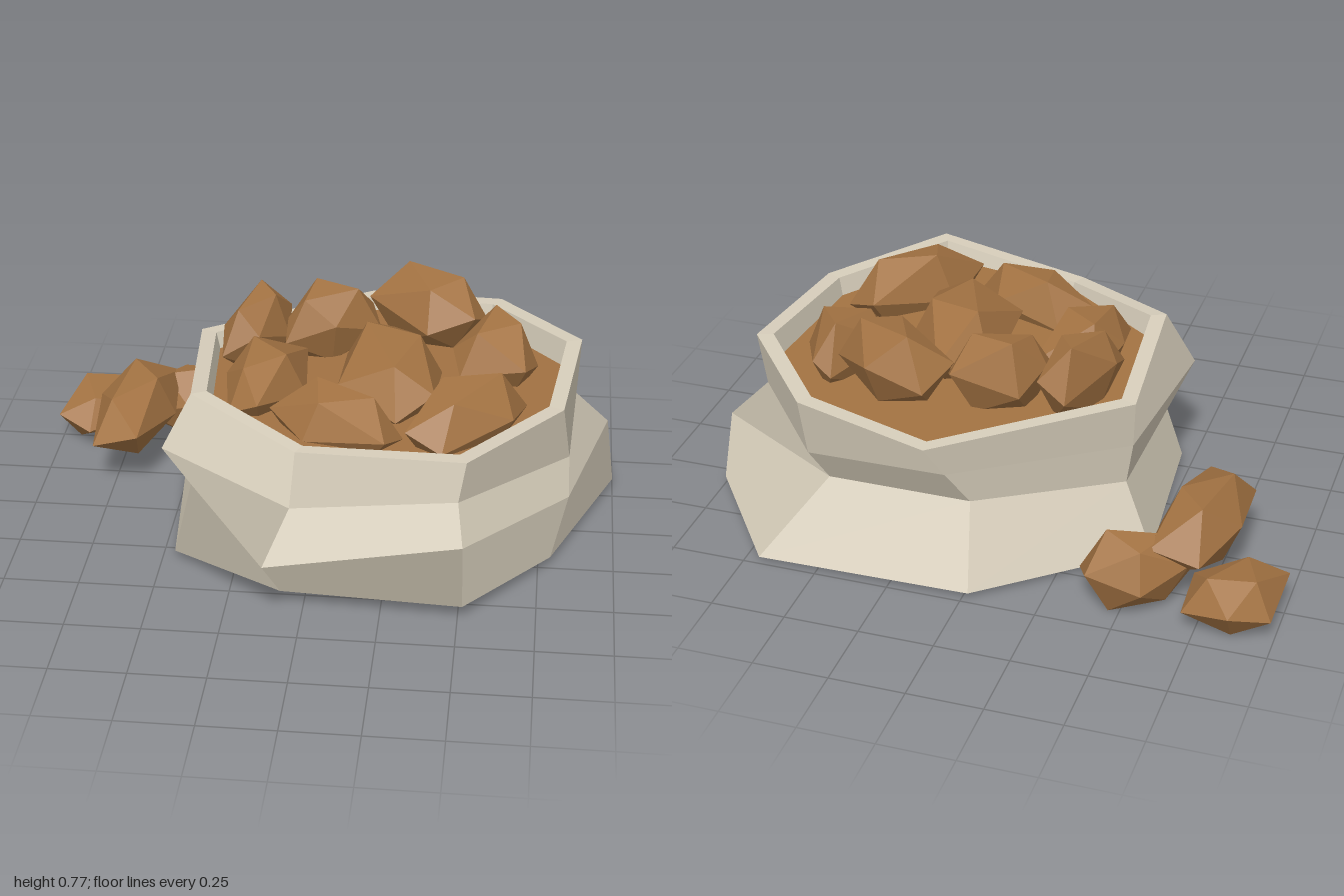
import * as THREE from 'three';
import { ConvexGeometry } from 'three/addons/geometries/ConvexGeometry.js';

const clothMat = new THREE.MeshStandardMaterial({ color: 0xd7cebb });
const earthMat = new THREE.MeshStandardMaterial({ color: 0xa27242, flatShading: true });

// Eight-sided outlines of the sack, bottom to top, starting at the back and going round by +x
const base = [[-0.02, 0.02, -0.73], [0.7, 0.015, -0.735], [1, 0.025, -0.33], [0.79, 0.03, 0.23],
  [0.515, 0.05, 0.595], [-0.075, 0.05, 0.56], [-0.46, 0.02, 0.3], [-0.515, 0.02, -0.32]];
const belly = [[0.02, 0.27, -0.58], [0.5, 0.275, -0.585], [0.97, 0.27, -0.305], [0.84, 0.265, 0.23],
  [0.51, 0.27, 0.6], [-0.11, 0.25, 0.745], [-0.41, 0.245, 0.24], [-0.42, 0.26, -0.3]];
const neck = [[0.08, 0.4, -0.65], [0.54, 0.4, -0.655], [0.84, 0.4, -0.28], [0.835, 0.4, 0.2],
  [0.49, 0.405, 0.545], [-0.035, 0.405, 0.635], [-0.495, 0.405, 0.29], [-0.44, 0.4, -0.3]];
const rim = [[0.12, 0.53, -0.73], [0.58, 0.565, -0.63], [0.865, 0.585, -0.29], [0.81, 0.575, 0.21],
  [0.515, 0.585, 0.61], [-0.03, 0.54, 0.515], [-0.4, 0.59, 0.25], [-0.445, 0.555, -0.3]];

// Shrinks an outline towards the middle of the sack mouth
const inset = (ring, s) => ring.map(p =>
  [0.21 + (p[0] - 0.21) * s, p[1], -0.05 + (p[2] + 0.05) * s]);

// Builds a mesh from three- or four-cornered panels, each shaded as one flat piece
function meshFrom(panels, material, name) {
  const positions = [], normals = [];
  for (const panel of panels) {
    const [a, b, c, d = a] = panel.map(p => new THREE.Vector3(...p));
    const n = c.clone().sub(a).cross(d.clone().sub(b)).normalize();
    const corners = panel.length === 4 ? [a, b, c, a, c, d] : [a, b, c];
    for (const p of corners) {
      positions.push(p.x, p.y, p.z);
      normals.push(n.x, n.y, n.z);
    }
  }
  const geo = new THREE.BufferGeometry();
  geo.setAttribute('position', new THREE.Float32BufferAttribute(positions, 3));
  geo.setAttribute('normal', new THREE.Float32BufferAttribute(normals, 3));
  const mesh = new THREE.Mesh(geo, material);
  mesh.name = name;
  return mesh;
}

// Joins successive outlines with four-cornered panels
function loft(rings) {
  const panels = [];
  for (let r = 0; r < rings.length - 1; r++) {
    const lo = rings[r], hi = rings[r + 1];
    lo.forEach((p, i) => {
      const j = (i + 1) % lo.length;
      panels.push([lo[j], p, hi[i], hi[j]]);
    });
  }
  return panels;
}

// Fills an outline with a fan, facing up or down
function cap(ring, up) {
  const c = [0, 1, 2].map(k => ring.reduce((s, p) => s + p[k], 0) / ring.length);
  return ring.map((p, i) => {
    const q = ring[(i + 1) % ring.length];
    return up ? [c, q, p] : [c, p, q];
  });
}

// Twelve-cornered lump: a zigzag waist of six x, z points with three corners above and three below
function lump(y0, y1, waist, name) {
  const h = y1 - y0, points = [];
  const cx = waist.reduce((s, p) => s + p[0], 0) / 6, cz = waist.reduce((s, p) => s + p[1], 0) / 6;
  const crown = [0, 1, 0, 0.96, 0, 0.9];
  waist.forEach(([x, z], i) => {
    const odd = i % 2, px = cx + (x - cx) * 0.55, pz = cz + (z - cz) * 0.55;
    points.push(new THREE.Vector3(x, y0 + h * (odd ? 0.4 : 0.6), z));
    points.push(new THREE.Vector3(px, y0 + h * (odd ? crown[i] : 0.02 * i), pz));
  });
  const mesh = new THREE.Mesh(new ConvexGeometry(points), earthMat);
  mesh.name = name;
  return mesh;
}

export function createModel() {
  const model = new THREE.Group();
  model.name = 'openSack';

  // Sack wall with folded rim, and its underside
  const lip = inset(rim, 0.92);
  const inner = inset(rim, 0.9).map(([x, , z]) => [x, 0.505 + 0.03 * z, z]);
  model.add(meshFrom([...loft([base, belly, neck, rim, lip, inner]), ...cap(base, false)], clothMat, 'sack'));

  // Filling inside the mouth
  model.add(meshFrom(cap(inner, true), earthMat, 'filling'));

  // Lumps heaped on the filling: lowest and highest y, then the waist
  const heap = new THREE.Group();
  heap.name = 'heapedLumps';
  [
    [0.5, 0.77, [[0.13, -0.4], [0.19, -0.54], [0.39, -0.52], [0.54, -0.37], [0.5, -0.25], [0.34, -0.22]]],
    [0.42, 0.69, [[0.43, -0.19], [0.56, -0.4], [0.62, -0.4], [0.72, -0.19], [0.68, -0.03], [0.46, -0.08]]],
    [0.42, 0.7, [[0.07, 0.13], [0.07, -0.21], [0.22, -0.32], [0.4, -0.1], [0.39, 0.18], [0.27, 0.28]]],
    [0.46, 0.74, [[-0.14, -0.27], [-0.09, -0.41], [0.14, -0.42], [0.18, -0.32], [0.03, -0.21], [-0.14, -0.18]]],
    [0.46, 0.74, [[-0.35, -0.19], [-0.24, -0.41], [-0.14, -0.38], [-0.13, -0.24], [-0.22, -0.11], [-0.34, -0.06]]],
    [0.42, 0.67, [[-0.31, 0.05], [-0.26, -0.11], [-0.06, -0.16], [-0.04, 0.08], [-0.18, 0.28], [-0.28, 0.24]]],
    [0.42, 0.66, [[-0.14, 0.27], [-0.05, 0.15], [0.19, 0.21], [0.3, 0.35], [0.25, 0.48], [-0.02, 0.4]]],
    [0.42, 0.69, [[0.31, 0.43], [0.35, 0.23], [0.57, 0.02], [0.69, 0.1], [0.65, 0.31], [0.43, 0.47]]],
  ].forEach(args => heap.add(lump(...args, 'lump')));
  model.add(heap);

  // Three lumps spilled beside the sack
  const spill = new THREE.Group();
  spill.name = 'spilledLumps';
  [
    [0, 0.19, [[-1, -0.44], [-0.99, -0.67], [-0.87, -0.75], [-0.71, -0.7], [-0.71, -0.53], [-0.88, -0.385]]],
    [0, 0.26, [[-0.4, -0.71], [-0.35, -0.59], [-0.53, -0.465], [-0.69, -0.5], [-0.7, -0.56], [-0.58, -0.7]]],
    [0.08, 0.33, [[-0.83, -0.4], [-0.74, -0.6], [-0.58, -0.615], [-0.56, -0.37], [-0.65, -0.08], [-0.81, -0.1]]],
  ].forEach(args => spill.add(lump(...args, 'spilledLump')));
  model.add(spill);

  return model;
}
